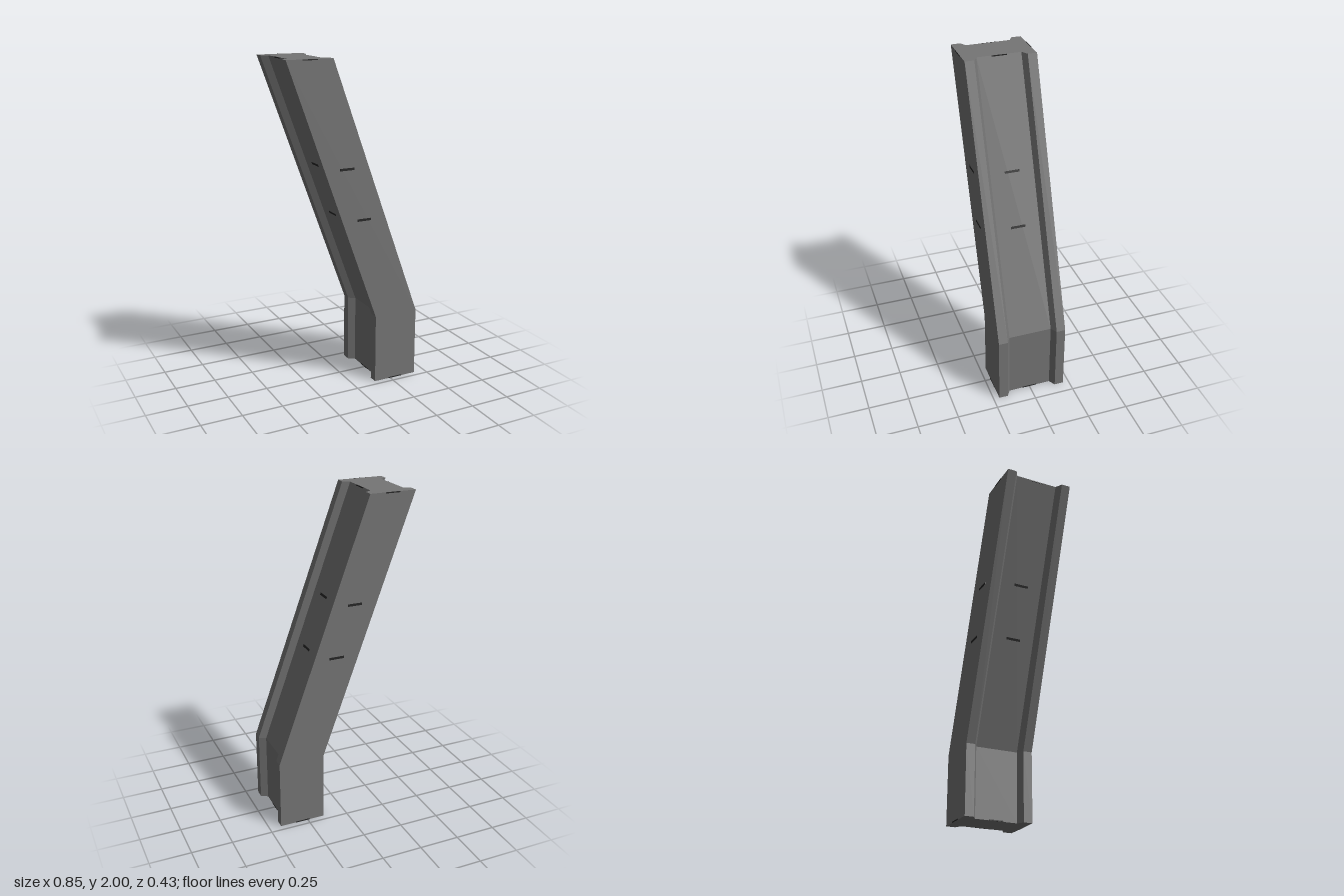
import * as THREE from 'three';

const BEND_Y = 0.43, TOP_Y = 2, LOWER_X = 0.284, UPPER_X = -0.285;
const FLANGE_X = 0.142, WEB_X = 0.102, FLANGE_Z = 0.213, LIP_Z = 0.157, WEB_Z = 0.133;

// centre line: upright foot, then a straight lean toward -x
function centreX(y) {
  const t = Math.max(0, (y - BEND_Y) / (TOP_Y - BEND_Y));
  return LOWER_X + (UPPER_X - LOWER_X) * t;
}

export function createModel() {
  const group = new THREE.Group();
  const steel = new THREE.MeshStandardMaterial({ color: 0x757575 });
  steel.name = 'grey steel';
  const dark = new THREE.MeshStandardMaterial({ color: 0x262626 });
  dark.name = 'dark mark';

  // I-shaped section, swept up through two horizontal-cut segments
  const quarter = [[WEB_X, WEB_Z], [FLANGE_X, LIP_Z], [FLANGE_X, FLANGE_Z]];
  const back = [...quarter].reverse();
  const outline = [
    ...quarter,
    ...back.map(([x, z]) => [-x, z]),
    ...quarter.map(([x, z]) => [-x, -z]),
    ...back.map(([x, z]) => [x, -z]),
  ].map(([x, z]) => new THREE.Vector2(x, z));
  const geometry = new THREE.ExtrudeGeometry(new THREE.Shape(outline), {
    depth: 2, steps: 2, bevelEnabled: false,
  });
  geometry.rotateX(-Math.PI / 2);
  const pos = geometry.attributes.position;
  for (let i = 0; i < pos.count; i++) {
    const layer = Math.round(pos.getY(i));
    const y = [0, BEND_Y, TOP_Y][layer];
    pos.setXYZ(i, pos.getX(i) + centreX(y), y, pos.getZ(i));
  }
  geometry.computeVertexNormals();
  const beam = new THREE.Mesh(geometry, steel);
  beam.name = 'bentBeam';
  group.add(beam);

  // thin dark marks on all four sides of the leaning part
  const lean = Math.atan2(LOWER_X - UPPER_X, TOP_Y - BEND_Y);
  const addMark = (name, size, x, y, z, turn = 0) => {
    const mark = new THREE.Mesh(new THREE.BoxGeometry(...size), dark);
    mark.name = name;
    mark.position.set(x, y, z);
    mark.rotation.z = turn;
    group.add(mark);
  };
  for (const y of [1.06, 1.372]) {
    for (const side of [-1, 1]) {
      addMark('flangeMark', [0.09, 0.014, 0.004], centreX(y), y, side * FLANGE_Z);
      addMark('webMark', [0.004, 0.014, 0.09], centreX(y) + side * WEB_X, y, 0, lean);
    }
  }
  // finer marks at the beam ends
  for (const y of [0.003, TOP_Y - 0.003]) {
    for (const side of [-1, 1]) {
      addMark('flangeEndMark', [0.09, 0.006, 0.004], centreX(y), y, side * FLANGE_Z);
      addMark('webEndMark', [0.004, 0.006, 0.09], centreX(y) + side * WEB_X, y, 0);
    }
  }
  return group;
}
